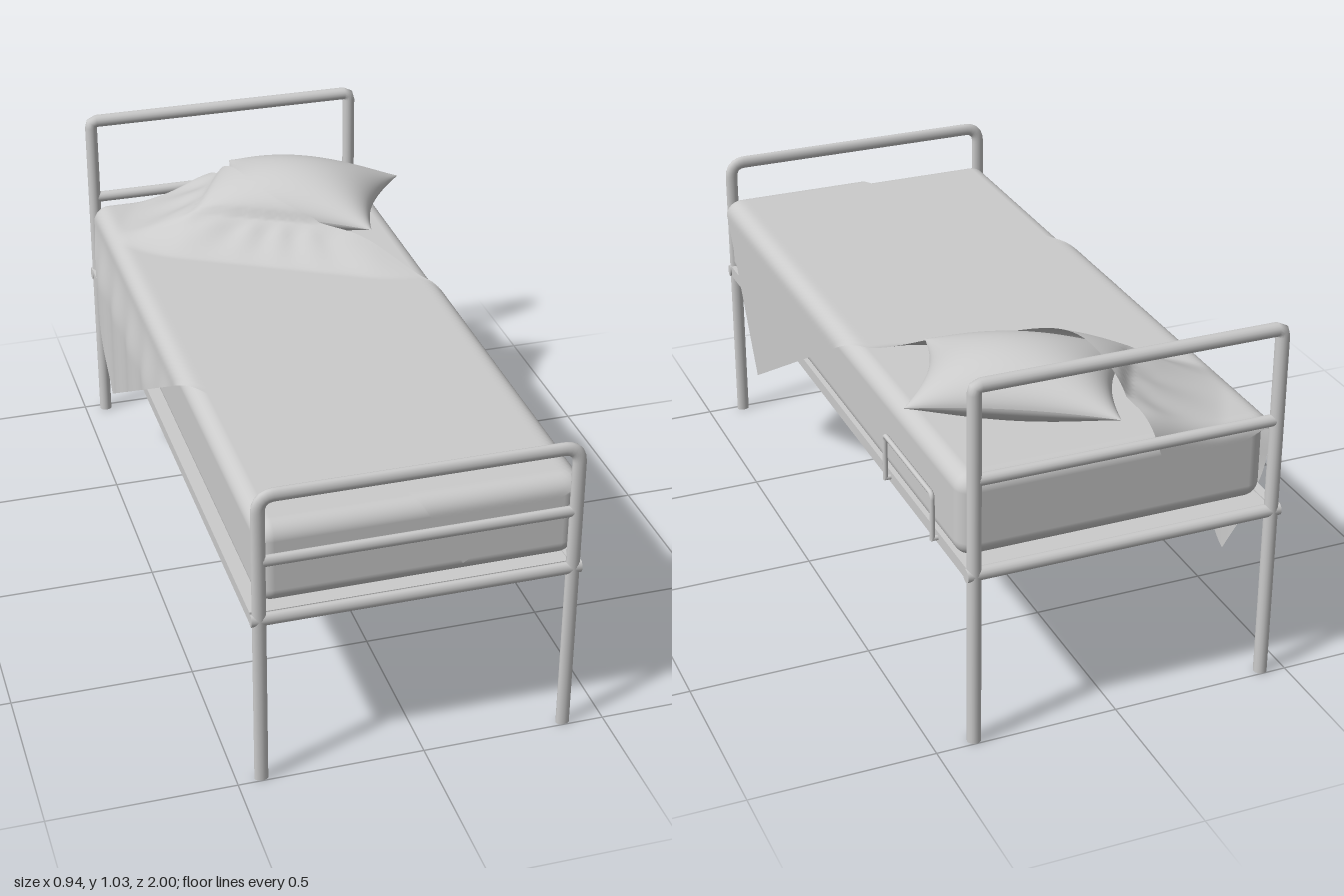
import * as THREE from 'three';
import { RoundedBoxGeometry } from 'three/addons/geometries/RoundedBoxGeometry.js';
import { ParametricGeometry } from 'three/addons/geometries/ParametricGeometry.js';

const metal = new THREE.MeshStandardMaterial({ color: 0xcccccc });
const cloth = new THREE.MeshStandardMaterial({ color: 0xcccccc, side: THREE.DoubleSide });
const { clamp, smoothstep } = THREE.MathUtils;
const V = (x, y, z) => new THREE.Vector3(x, y, z);
const LEFT = -0.435, RIGHT = 0.391; // post centres

function add(parent, name, geometry, material, x = 0, y = 0, z = 0) {
  const mesh = new THREE.Mesh(geometry, material);
  mesh.name = name;
  mesh.position.set(x, y, z);
  parent.add(mesh);
  return mesh;
}

// Upside-down U path in the XY plane with rounded top corners
function archPath(x0, x1, y0, y1, c) {
  const path = new THREE.CurvePath();
  path.add(new THREE.LineCurve3(V(x0, y0, 0), V(x0, y1 - c, 0)));
  path.add(new THREE.QuadraticBezierCurve3(V(x0, y1 - c, 0), V(x0, y1, 0), V(x0 + c, y1, 0)));
  path.add(new THREE.LineCurve3(V(x0 + c, y1, 0), V(x1 - c, y1, 0)));
  path.add(new THREE.QuadraticBezierCurve3(V(x1 - c, y1, 0), V(x1, y1, 0), V(x1, y1 - c, 0)));
  path.add(new THREE.LineCurve3(V(x1, y1 - c, 0), V(x1, y0, 0)));
  return path;
}

// Posts and top rail in one bent tube, a cross bar and an end rail
function endFrame(name, top, barY, corner, z, depth) {
  const g = new THREE.Group();
  g.name = name;
  g.position.z = z;
  g.scale.z = depth;
  const r = 0.0185;
  add(g, 'bentTube', new THREE.TubeGeometry(archPath(LEFT, RIGHT, 0, top - r, corner), 200, r, 16), metal);
  for (const x of [LEFT, RIGHT]) {
    add(g, 'foot', new THREE.CircleGeometry(r, 16), metal, x, 0.0005).rotation.x = Math.PI / 2;
  }
  const mid = (LEFT + RIGHT) / 2;
  add(g, 'crossBar', new THREE.CylinderGeometry(0.016, 0.016, RIGHT - LEFT, 16), metal, mid, barY).rotation.z = Math.PI / 2;
  add(g, 'endRail', new THREE.CylinderGeometry(0.018, 0.018, 0.87, 16), metal, mid, 0.494).rotation.z = Math.PI / 2;
  return g;
}

// Pillow placement: a rectangle turned on the mattress
const P = { x: 0.135, z: -0.665, y: 0.835, hp: 0.27, hq: 0.2, c: 0.875, s: 0.484 };
const puff = (a, b) => Math.pow(Math.max(0, (1 - a * a) * (1 - b * b)), 0.55);

function pillowHalf(height) {
  const geo = new ParametricGeometry((u, v, t) => {
    const a = -Math.cos(u * Math.PI), b = -Math.cos(v * Math.PI);
    // sides pinch inwards so the corners stand out
    const p = P.hp * a * (1 - 0.13 * (1 - b * b));
    const q = P.hq * b * (1 - 0.13 * (1 - a * a));
    t.set(P.x + p * P.c - q * P.s, P.y + height * puff(a, b), P.z + p * P.s + q * P.c);
  }, 36, 36);
  geo.computeVertexNormals();
  return geo;
}

// Height of the blanket over the mattress where it tents over the pillow
function pillowLift(x, z) {
  const dx = x - P.x, dz = z - P.z;
  const p = dx * P.c + dz * P.s, q = -dx * P.s + dz * P.c;
  const a = clamp(p / P.hp, -1, 1), b = clamp(q / P.hq, -1, 1);
  const out = Math.hypot((p - a * P.hp) / 0.25, (q - b * P.hq) / 0.14);
  const fall = Math.pow(Math.max(0, 1 - out), 1.4);
  const crease = 0.007 * Math.sin(Math.atan2(q, p) * 17) * smoothstep(out, 0, 0.3) * fall;
  return (0.093 + 0.105 * puff(a, b)) * fall + crease;
}

// Wraps a flat coordinate over a rounded edge: returns [position, drop]
function fold(s, lo, hi, r) {
  const sign = s > (lo + hi) / 2 ? 1 : -1;
  const edge = sign > 0 ? hi : lo;
  const t = (s - edge) * sign + r;
  if (t <= 0) return [s, 0];
  const angle = Math.min(t / r, Math.PI / 2);
  return [edge + sign * r * (Math.sin(angle) - 1), r * (1 - Math.cos(angle)) + Math.max(0, t - r * Math.PI / 2)];
}

// Rectangular sheet laid at 30 degrees, draped over the mattress
function blanketGeometry() {
  const width = 0.914, length = 2.13;
  const geo = new ParametricGeometry((u, v, t) => {
    let X = 0.1 + 0.866 * width * u - 0.5 * length * v;
    let Z = 1.15 - 0.5 * width * u - 0.866 * length * v;
    // the pillow draws the nearby edge in
    const pull = 0.14 * u * u * Math.exp(-Math.pow((Z + 0.64) / 0.24, 2));
    X -= 0.866 * pull;
    Z += 0.5 * pull + 0.06 * smoothstep(-Z, 0.85, 1.1);
    const [x, dropX] = fold(X, -0.447, 0.423, 0.045);
    const [z, dropZ] = fold(Z, -0.957, 0.968, 0.045);
    const drop = dropX + dropZ;
    const lift = pillowLift(x, z) * (1 - smoothstep(drop, 0, 0.1));
    const y = 0.75 - drop + lift;
    // hanging side clears the bed rail and ripples slightly
    let flare = 0;
    if (X < 0) flare = -smoothstep(dropX, 0.05, 0.22) * (0.02 + 0.005 * Math.sin(Z * 30));
    t.set(x + flare, y, z);
  }, 70, 160);
  geo.computeVertexNormals();
  return geo;
}

export function createModel() {
  const bed = new THREE.Group();
  bed.name = 'bed';

  // Tubular ends
  bed.add(endFrame('headboard', 1.03, 0.757, 0.018, -0.982, 1));
  bed.add(endFrame('footboard', 0.87, 0.665, 0.045, 0.9865, 0.7));

  // Base with its side rails
  add(bed, 'base', new THREE.BoxGeometry(0.83, 0.028, 1.95), metal, -0.022, 0.494, 0);
  for (const [name, x] of [['leftRail', 0.396], ['rightRail', -0.443]]) {
    add(bed, name, new THREE.BoxGeometry(0.026, 0.033, 1.95), metal, x, 0.495, 0);
  }

  // Small grab rail on the left side near the head
  const grab = add(bed, 'grabRail',
    new THREE.TubeGeometry(archPath(-0.168, 0.168, 0.49, 0.623, 0.014), 90, 0.007, 10), metal, 0.423, 0, -0.617);
  grab.rotation.y = Math.PI / 2;
  for (const z of [-0.449, -0.785]) {
    add(bed, 'grabRailPin', new THREE.CylinderGeometry(0.007, 0.007, 0.03, 10), metal, 0.412, 0.494, z).rotation.z = Math.PI / 2;
  }

  // Bedding
  add(bed, 'mattress', new RoundedBoxGeometry(0.845, 0.232, 1.907, 6, 0.045), metal, -0.009, 0.626, 0.008);
  const pillow = new THREE.Group();
  pillow.name = 'pillow';
  add(pillow, 'pillowTop', pillowHalf(0.105), cloth);
  add(pillow, 'pillowBottom', pillowHalf(-0.085), cloth);
  bed.add(pillow);
  add(bed, 'blanket', blanketGeometry(), cloth);
  return bed;
}
